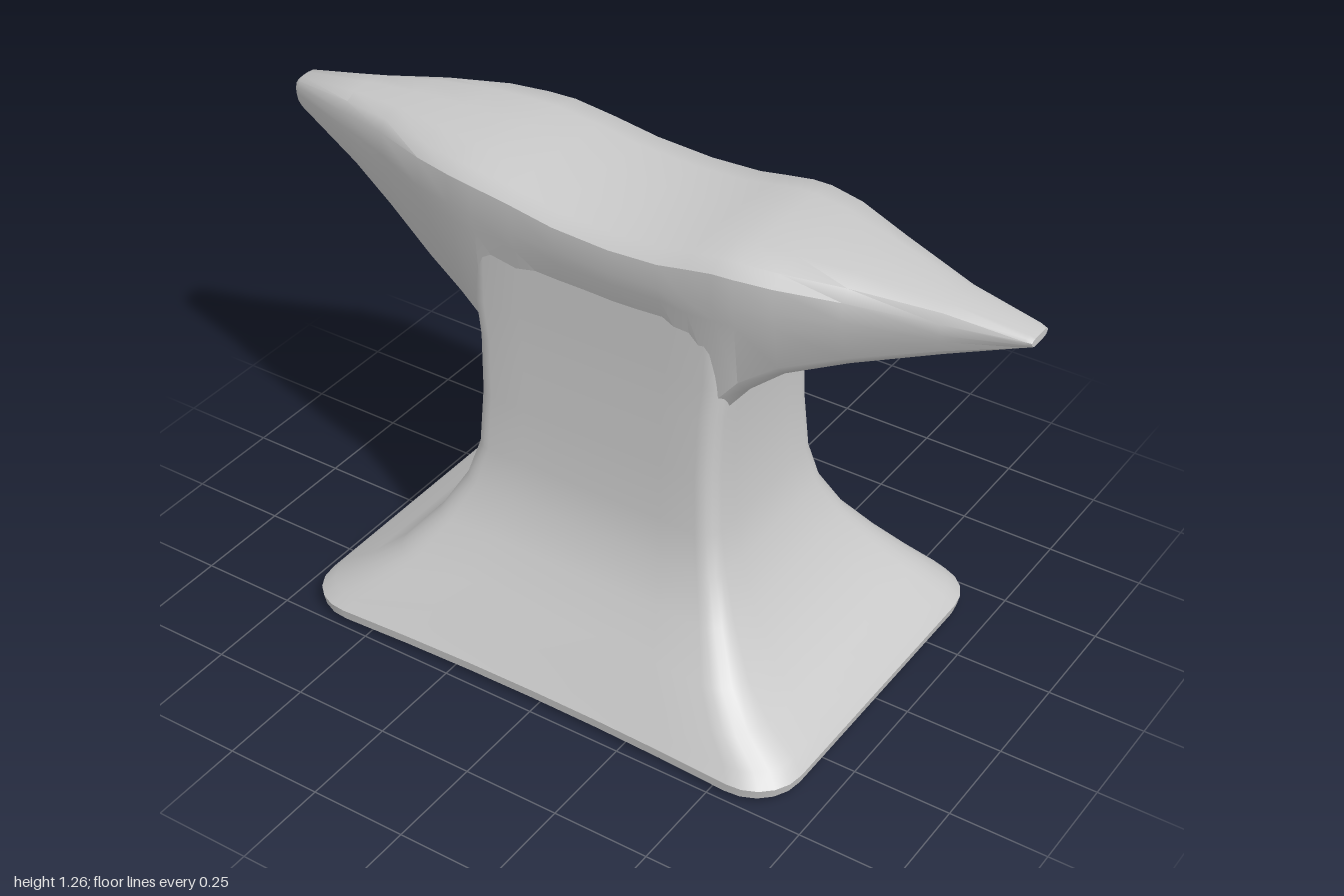
import * as THREE from 'three';
import { toCreasedNormals } from 'three/addons/utils/BufferGeometryUtils.js';

// Skin a list of equal-length closed rings and cap both ends
function loft(rings) {
  const n = rings[0].length, pos = [], idx = [];
  rings.forEach(r => r.forEach(p => pos.push(...p)));
  for (let i = 0; i < rings.length - 1; i++) {
    for (let j = 0; j < n; j++) {
      const k = (j + 1) % n, a = i * n + j, b = i * n + k;
      idx.push(a, b, b + n, a, b + n, a + n);
    }
  }
  [0, rings.length - 1].forEach((i, end) => {
    const c = pos.length / 3;
    pos.push(...[0, 1, 2].map(d => rings[i].reduce((s, p) => s + p[d], 0) / n));
    for (let j = 0; j < n; j++) {
      const a = i * n + j, b = i * n + (j + 1) % n;
      if (end) idx.push(c, a, b); else idx.push(c, b, a);
    }
  });
  const g = new THREE.BufferGeometry();
  g.setAttribute('position', new THREE.Float32BufferAttribute(pos, 3));
  g.setIndex(idx);
  return toCreasedNormals(g, 0.7);
}

// Horizontal rounded rectangle, with sides pinched slightly between the corners
function bodyRing([y, x0, x1, hz, r, pinch]) {
  const cx = (x0 + x1) / 2, hx = (x1 - x0) / 2, ring = [];
  const add = (x, z) => ring.push([cx + x, y, -z * (1 - pinch * (1 - (x / hx) ** 2))]);
  const corners = [[1, 1], [-1, 1], [-1, -1], [1, -1]];
  corners.forEach(([sx, sz], q) => {
    for (let i = 0; i <= 5; i++) {
      const a = (q + i / 5) * Math.PI / 2;
      add(sx * (hx - r) + r * Math.cos(a), sz * (hz - r) + r * Math.sin(a));
    }
    // extra points along the straight side that follows
    const [nx, nz] = corners[(q + 1) % 4];
    for (let i = 1; i < 6; i++) {
      const t = i / 6;
      if (sz === nz) add(THREE.MathUtils.lerp(sx, nx, t) * (hx - r), sz * hz);
      else add(sx * hx, THREE.MathUtils.lerp(sz, nz, t) * (hz - r));
    }
  });
  return ring;
}

// Upright slice through the head: crowned top, short side, tapered underside
function headRing([x, top, bottom, w]) {
  const h = top - bottom, e = Math.min(0.045, h * 0.3), k = Math.min(0.13, h * 0.35);
  const half = [
    [0.55, top - e * 0.1], [0.87, top - e * 0.4], [1, top - e],
    [1, top - e - k * 0.6], [0.94, top - e - k],
    [0.85, bottom + h * 0.13], [0.68, bottom + h * 0.02],
  ].map(([s, y]) => [x, y, s * w]);
  return [[x, top, 0], ...half, [x, bottom, 0],
    ...half.slice().reverse().map(([px, y, z]) => [px, y, -z])];
}

export function createModel() {
  const group = new THREE.Group();
  group.name = 'anvil';
  const iron = new THREE.MeshStandardMaterial({ color: 0xc8c8c8 });
  iron.name = 'pale iron';

  // Flared foot and waist: y, left x, right x, half depth, corner radius, pinch
  const body = loft([
    [0.01, -0.67, 0.64, 0.475, 0.12, 0.05],
    [0.025, -0.7, 0.67, 0.495, 0.13, 0.05],
    [0.05, -0.705, 0.675, 0.498, 0.13, 0.05],
    [0.08, -0.675, 0.645, 0.475, 0.12, 0.05],
    [0.13, -0.59, 0.565, 0.435, 0.1, 0.04],
    [0.2, -0.51, 0.485, 0.38, 0.08, 0.03],
    [0.3, -0.43, 0.41, 0.305, 0.06, 0.02],
    [0.4, -0.375, 0.36, 0.255, 0.05, 0.01],
    [0.5, -0.345, 0.335, 0.233, 0.045, 0],
    [0.65, -0.338, 0.325, 0.222, 0.045, 0],
    [0.8, -0.345, 0.325, 0.212, 0.045, 0],
    [0.9, -0.36, 0.335, 0.208, 0.045, 0],
    [1.1, -0.36, 0.335, 0.205, 0.045, 0],
  ].map(bodyRing));
  const bodyMesh = new THREE.Mesh(body, iron);
  bodyMesh.name = 'footAndWaist';

  // Head with two horns: x, top, bottom, half depth
  const head = loft([
    [-1, 1.2, 1.135, 0.03],
    [-0.985, 1.213, 1.125, 0.038],
    [-0.8, 1.243, 1.045, 0.088],
    [-0.65, 1.262, 0.975, 0.14],
    [-0.5, 1.27, 0.9, 0.195],
    [-0.4, 1.27, 0.84, 0.217],
    [-0.33, 1.268, 0.78, 0.226],
    [-0.22, 1.255, 0.9, 0.228],
    [-0.1, 1.237, 0.95, 0.23],
    [0.05, 1.23, 0.95, 0.23],
    [0.18, 1.237, 0.95, 0.229],
    [0.25, 1.25, 0.9, 0.228],
    [0.32, 1.262, 0.81, 0.227],
    [0.37, 1.264, 0.88, 0.225],
    [0.46, 1.26, 0.955, 0.205],
    [0.6, 1.246, 1.015, 0.148],
    [0.8, 1.22, 1.09, 0.078],
    [0.98, 1.193, 1.162, 0.041],
    [0.995, 1.188, 1.168, 0.036],
  ].map(headRing));
  const headMesh = new THREE.Mesh(head, iron);
  headMesh.name = 'headWithHorns';

  group.add(bodyMesh, headMesh);
  return group;
}
